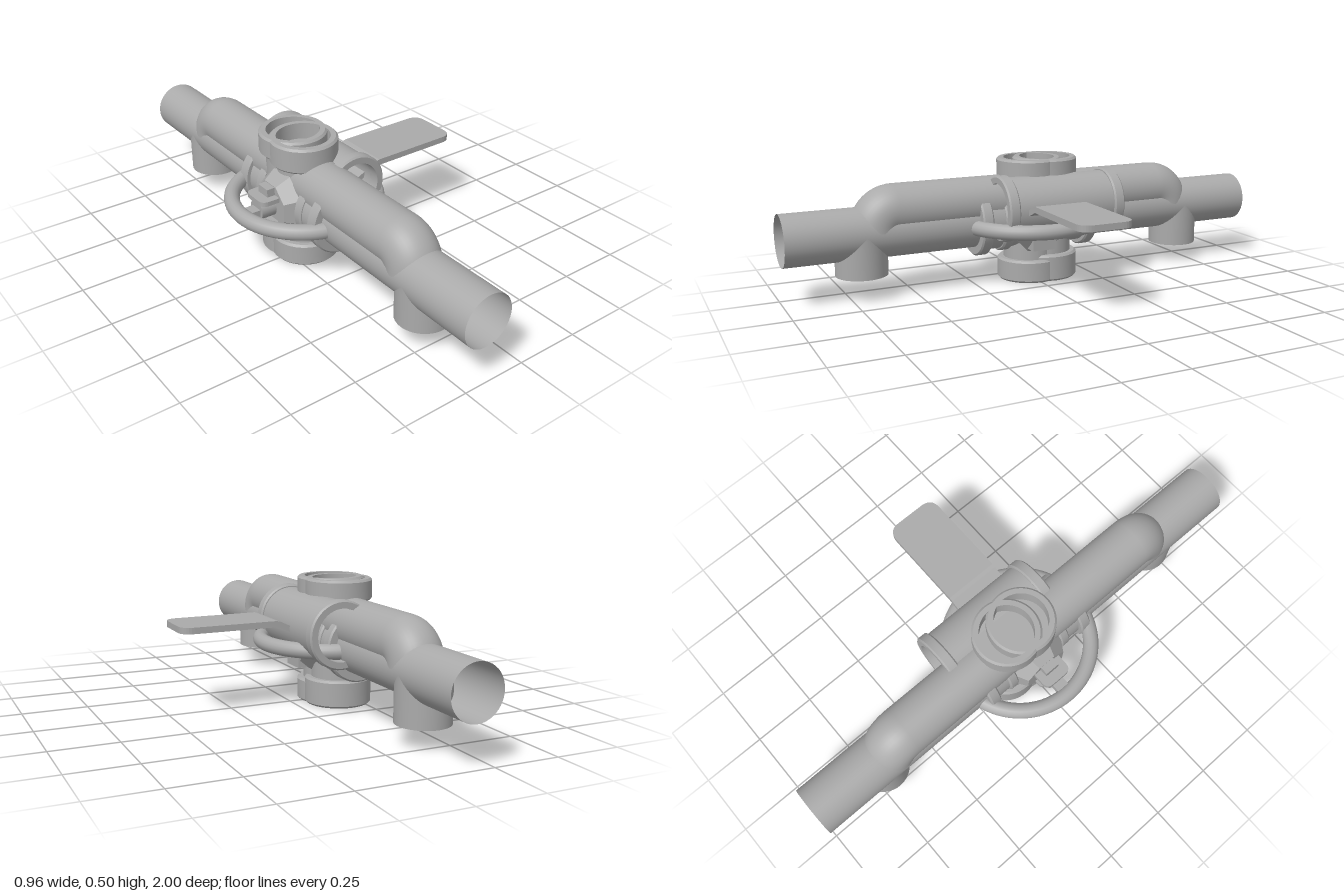
import * as THREE from 'three';
import { toCreasedNormals } from 'three/addons/utils/BufferGeometryUtils.js';

const X = -0.175; // axis of the pipe run
const AXIS_Y = 0.25;

export function createModel() {
  const model = new THREE.Group();
  model.name = 'pipeValve';
  const metal = new THREE.MeshStandardMaterial({ color: 0xaaaaaa, side: THREE.DoubleSide });
  metal.name = 'greyMetal';

  function add(name, geometry, x = 0, y = 0, z = 0, rx = 0, rz = 0) {
    const mesh = new THREE.Mesh(geometry, metal);
    mesh.name = name;
    mesh.position.set(x, y, z);
    mesh.rotation.set(rx, 0, rz);
    model.add(mesh);
    return mesh;
  }

  // Closed ring along y with small bevels on the outer rim
  function ring(outer, inner, height, bevel = 0.006) {
    const h = height / 2;
    const profile = [
      [inner, -h], [outer - bevel, -h], [outer, -h + bevel],
      [outer, h - bevel], [outer - bevel, h], [inner, h], [inner, -h],
    ].map(([r, y]) => new THREE.Vector2(r, y));
    return toCreasedNormals(new THREE.LatheGeometry(profile, 48), 0.5);
  }
  const tube = (r, length) => new THREE.CylinderGeometry(r, r, length, 48, 1, true);

  // Flat plate in the xz plane with rounded corners
  function plate(x0, x1, z0, z1, thickness, r) {
    const s = new THREE.Shape();
    s.moveTo(x0, -z0);
    s.lineTo(x1 - r, -z0);
    s.quadraticCurveTo(x1, -z0, x1, -z0 - r);
    s.lineTo(x1, -z1 + r);
    s.quadraticCurveTo(x1, -z1, x1 - r, -z1);
    s.lineTo(x0, -z1);
    s.closePath();
    return new THREE.ExtrudeGeometry(s, { depth: thickness, bevelEnabled: false, curveSegments: 8 })
      .rotateX(-Math.PI / 2);
  }

  // Straight main pipe, open at both ends
  add('mainPipe', tube(0.1, 2), X, AXIS_Y, 0, Math.PI / 2);

  // Raised pipe that bends down into the main pipe at both ends
  const path = new THREE.CurvePath();
  const v = (y, z) => new THREE.Vector3(X, y, z);
  const k = 0.55 * 0.07;
  path.add(new THREE.CubicBezierCurve3(v(0.26, -0.64), v(0.26 + k, -0.64), v(0.33, -0.57 - k), v(0.33, -0.57)));
  path.add(new THREE.LineCurve3(v(0.33, -0.57), v(0.33, 0.57)));
  path.add(new THREE.CubicBezierCurve3(v(0.33, 0.57), v(0.33, 0.57 + k), v(0.26 + k, 0.64), v(0.26, 0.64)));
  add('raisedPipe', new THREE.TubeGeometry(path, 160, 0.1, 40));

  // Short open branches below the main pipe
  for (const [z, bottom] of [[0.7, 0.09], [-0.695, 0.075]]) {
    add('branchPipe', tube(0.1, AXIS_Y - bottom), X, (AXIS_Y + bottom) / 2, z);
  }

  // Two overlapping vertical ports with collars above and below
  for (const [z, low, high] of [[0, 0.09, 0.395], [-0.07, 0.107, 0.41]]) {
    add('portNeck', new THREE.CylinderGeometry(0.105, 0.105, 0.36, 40), X, 0.25, z);
    add('lowerCollar', ring(0.13, 0.102, low, 0.008), X, low / 2, z);
    add('upperCollar', ring(0.13, 0.102, 0.495 - high, 0.008), X, (0.495 + high) / 2, z);
  }

  // Flanges and stepped barrel around the main pipe
  for (const side of [-1, 1]) {
    add('pipeFlange', ring(0.135, 0.1, 0.045), X, AXIS_Y, side * 0.228, Math.PI / 2);
    add('barrelStep', ring(0.125, 0.1, 0.04), X, AXIS_Y, side * 0.13, Math.PI / 2);
  }
  add('barrel', tube(0.115, 0.42), X, AXIS_Y, 0, Math.PI / 2);

  // Faceted side bosses, mirrored left and right
  for (const side of [-1, 1]) {
    const boss = new THREE.CylinderGeometry(0.095, 0.13, 0.055, 8).rotateY(Math.PI / 8).toNonIndexed();
    boss.computeVertexNormals();
    add('sideBoss', boss, X + side * 0.125, AXIS_Y, 0, 0, -side * Math.PI / 2);
  }

  // Hand ring around the whole body
  const rim = new THREE.TorusGeometry(0.277, 0.03, 16, 80).rotateX(Math.PI / 2);
  add('handRing', rim, X, 0.243, 0);

  // Hollow side sleeve with end flanges
  const sx = -0.067, sy = 0.315, sz = -0.065;
  add('sleeve', ring(0.12, 0.1, 0.49), sx, sy, sz, Math.PI / 2);
  for (const side of [-1, 1]) {
    add('sleeveFlange', ring(0.13, 0.1, 0.045), sx, sy, sz + side * 0.227, Math.PI / 2);
  }

  // Lever: flat grip, sloping shank and inner tongue
  add('leverGrip', plate(0.105, 0.478, -0.112, 0.105, 0.024, 0.05), 0, 0.325, 0);
  const shank = new THREE.Shape([
    [-0.06, 0.285], [0.01, 0.285], [0.105, 0.325], [0.105, 0.349], [0.09, 0.345], [0.005, 0.305], [-0.06, 0.305],
  ].map(([x, y]) => new THREE.Vector2(x, y)));
  add('leverShank', new THREE.ExtrudeGeometry(shank, { depth: 0.217, bevelEnabled: false }), 0, 0, -0.112);

  // Stem, nut and stop plates on the other side
  const stop = plate(0, 0.12, -0.06, 0.06, 0.018, 0.03).rotateY(Math.PI);
  add('upperStop', stop, -0.28, 0.286, 0);
  add('lowerStop', plate(0, 0.085, -0.05, 0.05, 0.012, 0.02).rotateY(Math.PI), -0.28, 0.188, 0);
  add('stem', new THREE.CylinderGeometry(0.04, 0.04, 0.1, 24), -0.34, AXIS_Y, 0, 0, Math.PI / 2);
  add('spoke', new THREE.BoxGeometry(0.12, 0.03, 0.05), -0.39, 0.243, 0);
  add('stemNut', new THREE.BoxGeometry(0.05, 0.04, 0.06), -0.335, 0.315, 0);

  // Small block on the lever side below the ring
  add('lowerBlock', new THREE.BoxGeometry(0.06, 0.055, 0.1), -0.045, 0.17, 0.005);

  return model;
}
